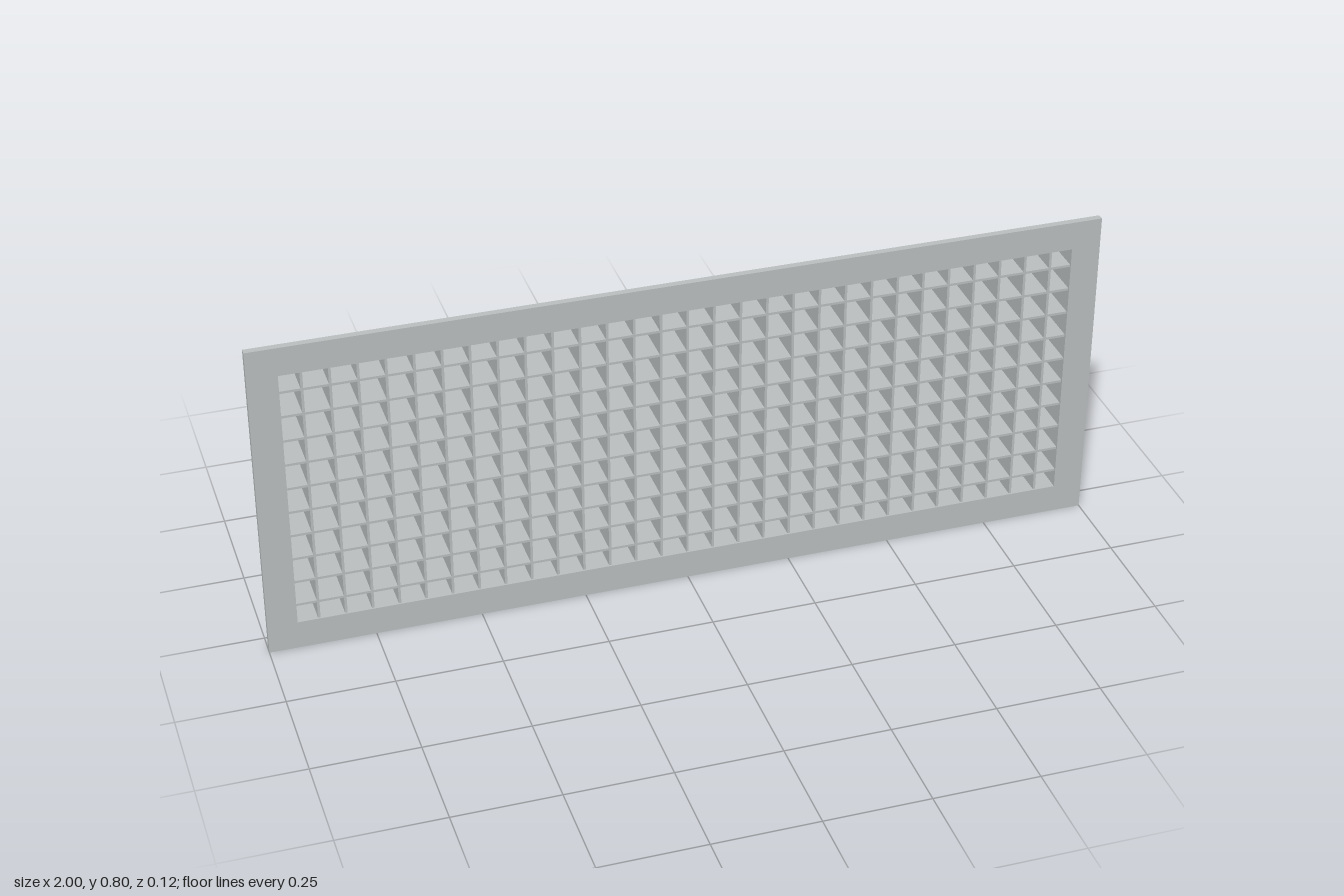
import * as THREE from 'three';

const W = 2, H = 0.796, CY = H / 2;

// Rectangular ring with a rectangular opening, extruded from z0 to z1
function ring(w, h, innerW, innerH, z0, z1) {
  const rect = (Type, a, b) => new Type([
    new THREE.Vector2(-a / 2, -b / 2), new THREE.Vector2(a / 2, -b / 2),
    new THREE.Vector2(a / 2, b / 2), new THREE.Vector2(-a / 2, b / 2),
  ]);
  const shape = rect(THREE.Shape, w, h);
  shape.holes.push(rect(THREE.Path, innerW, innerH));
  return new THREE.ExtrudeGeometry(shape, { depth: z1 - z0, bevelEnabled: false }).translate(0, CY, z0);
}

export function createModel() {
  const group = new THREE.Group();
  const metal = new THREE.MeshStandardMaterial({ color: 0xbbbfbe });
  metal.name = 'light grey metal';
  const black = new THREE.MeshStandardMaterial({ color: 0x2e2e2e });
  black.name = 'black filter';

  const add = (name, geometry, material, parent = group) => {
    const mesh = new THREE.Mesh(geometry, material);
    mesh.name = name;
    parent.add(mesh);
    return mesh;
  };

  const openW = 1.86, openH = 0.656;

  // Flat front flange and the duct collar behind it
  add('frontFlange', ring(W, H, openW, openH, 0.043, 0.059), metal);
  add('collar', ring(1.876, 0.668, openW, openH, -0.047, 0.043), metal);

  // Egg-crate core: crossing thin blades
  const core = new THREE.Group();
  core.name = 'eggCrateCore';
  group.add(core);
  const pitch = 0.0628, thick = 0.006, z0 = -0.046, z1 = 0.055;
  const depth = z1 - z0, zMid = (z0 + z1) / 2;
  const upright = new THREE.BoxGeometry(thick, openH, depth);
  for (let i = -14; i <= 14; i++) {
    add('verticalBlade', upright, metal, core).position.set(i * pitch, CY, zMid);
  }
  const level = new THREE.BoxGeometry(openW, thick, depth - 0.0004);
  for (let j = 0; j < 10; j++) {
    add('horizontalBlade', level, metal, core).position.set(0, CY + (j - 4.5) * pitch, zMid);
  }

  // Thin filter sheet just behind the collar
  add('filterSheet', new THREE.BoxGeometry(1.854, 0.652, 0.005), black).position.set(0, CY, -0.0555);

  return group;
}
